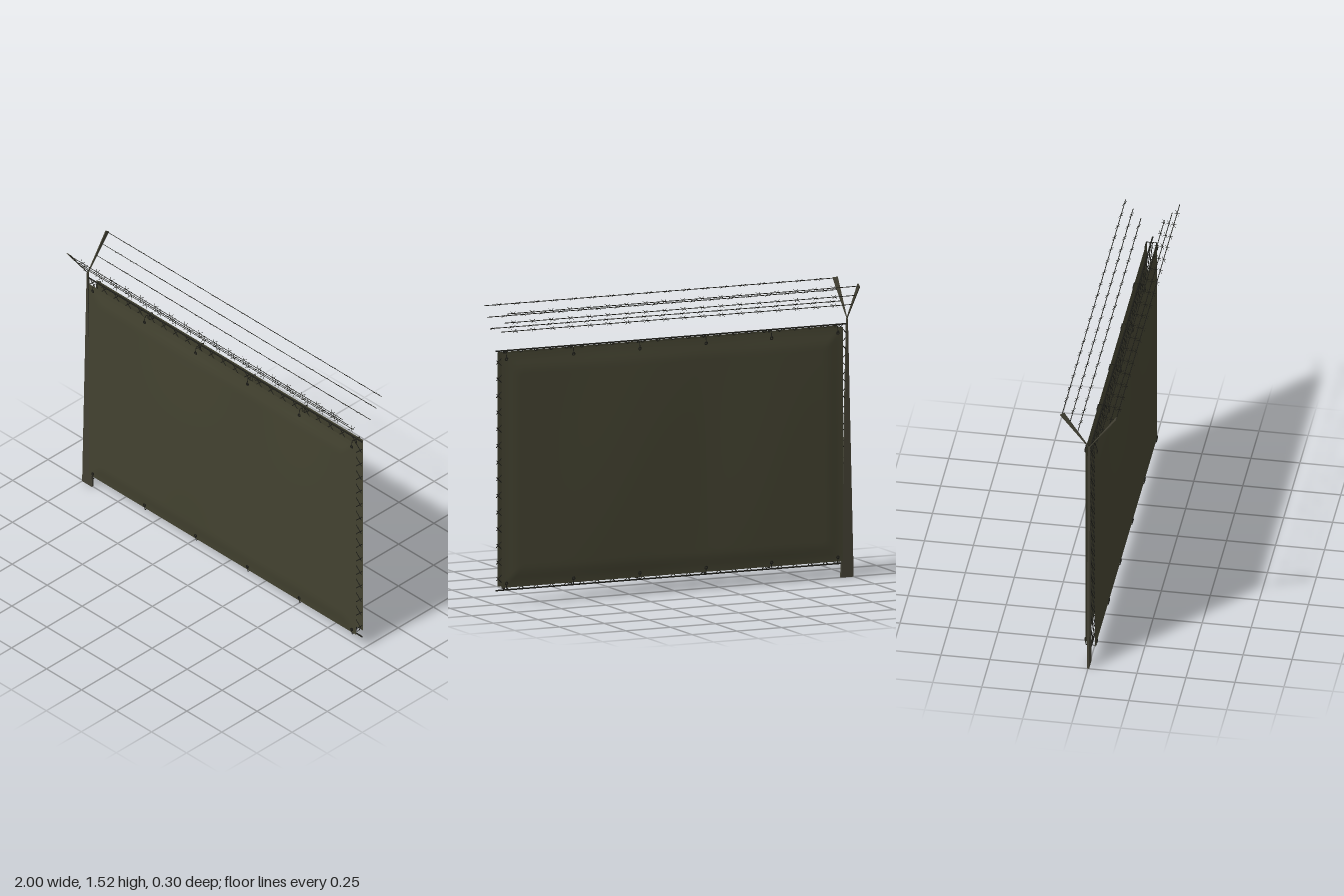
import * as THREE from 'three';
import { mergeGeometries } from 'three/addons/utils/BufferGeometryUtils.js';

const V = (x, y, z) => new THREE.Vector3(x, y, z);

// thin straight rod between two points
function rod(a, b, r, sides = 4) {
  const d = b.clone().sub(a);
  const g = new THREE.CylinderGeometry(r, r, d.length(), sides);
  g.applyQuaternion(new THREE.Quaternion().setFromUnitVectors(V(0, 1, 0), d.normalize()));
  g.translate((a.x + b.x) / 2, (a.y + b.y) / 2, (a.z + b.z) / 2);
  return g;
}

// flat plate that is w0 wide at the bottom and w1 wide at height h
function taperedPlate(w0, w1, h, depth) {
  const s = new THREE.Shape();
  s.moveTo(-w0 / 2, 0);
  s.lineTo(w0 / 2, 0);
  s.lineTo(w1 / 2, h);
  s.lineTo(-w1 / 2, h);
  return new THREE.ExtrudeGeometry(s, { depth, bevelEnabled: false }).translate(0, 0, -depth / 2);
}

export function createModel() {
  const olive = new THREE.MeshStandardMaterial({ color: 0x434230, side: THREE.DoubleSide });
  olive.name = 'olive canvas';
  const postPaint = new THREE.MeshStandardMaterial({ color: 0x434134 });
  postPaint.name = 'post paint';
  const dark = new THREE.MeshStandardMaterial({ color: 0x1e1e19 });
  dark.name = 'dark wire';

  const model = new THREE.Group();
  model.name = 'fencePanel';
  const add = (name, geo, mat) => {
    const m = new THREE.Mesh(geo, mat);
    m.name = name;
    model.add(m);
    return m;
  };

  // tapered post on the right edge, with two arms spreading into a Y
  const postX = -0.965, armY = 1.32, tilt = Math.atan2(0.138, 0.19);
  add('post', taperedPlate(0.07, 0.006, armY, 0.012).translate(postX, 0, 0), postPaint);
  add('frontArm', taperedPlate(0.003, 0.03, 0.235, 0.003)
    .rotateX(tilt).translate(postX, armY, 0), postPaint);
  add('backArm', taperedPlate(0.003, 0.026, 0.235, 0.005).rotateY(Math.PI / 2)
    .rotateX(-tilt).translate(postX, armY, 0), postPaint);

  // chain-link mesh: two sets of diagonals clipped to the panel
  const x0 = -0.96, x1 = 0.992, y0 = 0.075, y1 = 1.29, step = 0.085;
  const link = [];
  for (let c = x0 - (y1 - y0) + step / 2; c < x1; c += step) {
    const a = Math.max(c, x0), b = Math.min(c + y1 - y0, x1);
    if (b - a < 0.01) continue;
    for (const flip of [false, true]) {
      const y = (x) => (flip ? y1 - (x - c) : y0 + (x - c));
      const z = flip ? 0.002 : -0.002;
      link.push(rod(V(a, y(a), z), V(b, y(b), z), 0.0022));
    }
  }
  add('chainLink', mergeGeometries(link), dark);

  // tension wires along the top and bottom of the mesh
  add('tensionWires', mergeGeometries([
    rod(V(postX, 1.293, 0), V(0.995, 1.293, 0), 0.004, 6),
    rod(V(postX, 0.072, 0), V(0.995, 0.072, 0), 0.004, 6),
  ]), dark);

  // canvas sheets with turned-in rims and soft wind bulges
  const smooth = (t) => THREE.MathUtils.smoothstep(t, 0, 1);
  const hump = (x, a, b) => (x > a && x < b ? Math.sin(Math.PI * (x - a) / (b - a)) ** 2 : 0);
  const left = -0.93, right = 0.975, bottom = 0.088, top = 1.283;
  const tieXs = [-0.9, -0.53, -0.165, 0.205, 0.575, 0.95];
  const bulge = (x, y) => {
    const edge = Math.min(x - left, right - x, y - bottom, top - y);
    const rise = Math.sin(Math.PI * (y - bottom) / (top - bottom));
    const waves = 0.013 * hump(x, -0.75, 0.3) + 0.01 * hump(x, 0.15, 1.0);
    return 0.025 + 0.01 * smooth(edge / 0.1) + rise * waves;
  };
  for (const side of [1, -1]) {
    const g = new THREE.PlaneGeometry(right - left, top - bottom, 96, 64);
    g.translate((left + right) / 2, (top + bottom) / 2, 0);
    const p = g.attributes.position;
    for (let i = 0; i < p.count; i++) p.setZ(i, bulge(p.getX(i), p.getY(i)));
    g.computeVertexNormals();
    if (side < 0) g.rotateY(Math.PI).translate(left + right, 0, 0);
    add(side > 0 ? 'frontSheet' : 'backSheet', g, olive);
  }

  // eyelets and the ties that loop over the rims
  const eyelets = [], ties = [];
  for (const x of tieXs) {
    for (const [y, rim] of [[1.255, 1.29], [0.11, 0.078]]) {
      for (const s of [1, -1]) {
        eyelets.push(new THREE.TorusGeometry(0.007, 0.003, 5, 10).translate(x, y, s * 0.03));
        const path = [V(x, y, s * 0.033), V(x, rim, s * 0.025), V(x, rim, s * 0.006), V(x, y, s * 0.004)];
        for (let i = 0; i < 3; i++) ties.push(rod(path[i], path[i + 1], 0.0022));
      }
    }
  }
  add('eyelets', mergeGeometries(eyelets), dark);
  add('ties', mergeGeometries(ties), dark);

  // barbed strands: three along each arm
  for (const s of [1, -1]) {
    const strands = [], barbs = [];
    const n = V(0, Math.sin(tilt), -s * Math.cos(tilt));
    [[1.4, 0.06], [1.452, 0.1], [1.505, 0.138]].forEach(([y, z], k) => {
      strands.push(rod(V(postX, y, s * z), V(0.995, y, s * z), 0.002));
      for (let x = -0.91 + k * 0.02 + (s < 0 ? 0.045 : 0); x < 0.98; x += 0.105) {
        const c = V(x, y, s * z);
        for (const d of [1, -1]) {
          const h = n.clone().multiplyScalar(0.013).add(V(d * 0.014, 0, 0));
          barbs.push(rod(c.clone().sub(h), c.clone().add(h), 0.0012, 3));
        }
      }
    });
    const name = s > 0 ? 'front' : 'back';
    add(name + 'Strands', mergeGeometries(strands), dark);
    add(name + 'Barbs', mergeGeometries(barbs), dark);
  }

  return model;
}
